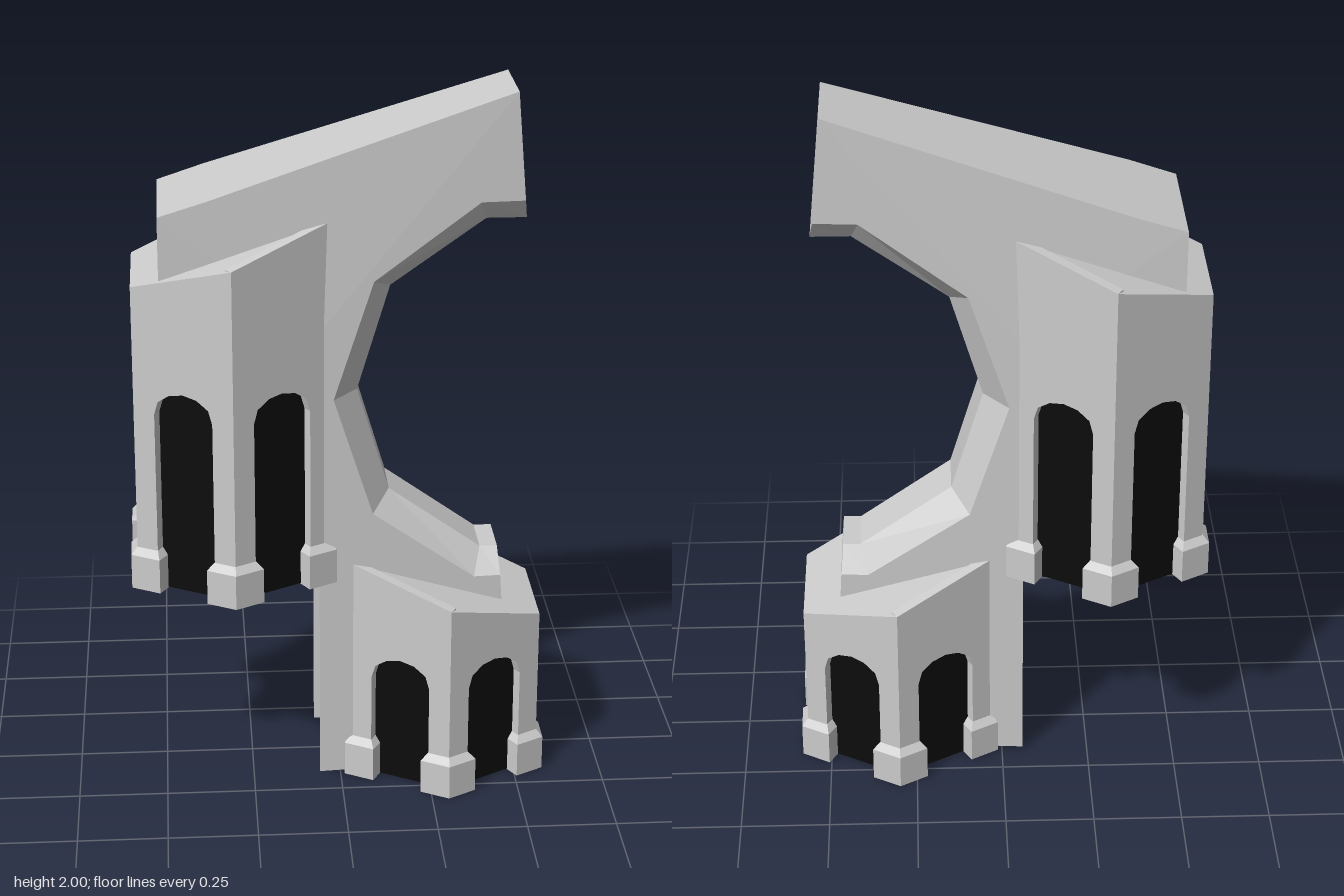
import * as THREE from 'three';

const grey = new THREE.MeshStandardMaterial({ color: 0xcccccc, flatShading: true, side: THREE.DoubleSide });
const black = new THREE.MeshStandardMaterial({ color: 0x0c0c0c, flatShading: true, side: THREE.DoubleSide });

const R = 0.31;                       // hexagon corner radius
const APOTHEM = R * Math.cos(Math.PI / 6);
const WALL = 0.03;

function addMesh(parent, name, geometry, material = grey) {
  const mesh = new THREE.Mesh(geometry, material);
  mesh.name = name;
  parent.add(mesh);
  return mesh;
}

function fromTriangles(points) {
  const g = new THREE.BufferGeometry().setFromPoints(points);
  g.computeVertexNormals();
  return g;
}

// Quads between consecutive rings of points
function skin(rings, closed) {
  const out = [];
  for (let i = 0; i + 1 < rings.length; i++) {
    const a = rings[i], b = rings[i + 1], n = a.length;
    for (let j = 0; j < (closed ? n : n - 1); j++) {
      const k = (j + 1) % n;
      out.push(a[j], a[k], b[k], a[j], b[k], b[j]);
    }
  }
  return out;
}

// Fills a flat outline; place() turns each outline point into a 3D point
function fill(outline, place, flip = false) {
  const pts = outline.map(([a, b]) => new THREE.Vector2(a, b));
  return THREE.ShapeUtils.triangulateShape(pts, [])
    .flatMap(([a, b, c]) => (flip ? [a, c, b] : [a, b, c]).map(i => place(pts[i])));
}

// One wall of a tower, with an arched opening reaching the ground
function wallGeometry(y0, archTop, topLeft, topRight) {
  const h = R / 2;
  const half = [[0.09, 0.07], [0.078, 0.032], [0.042, 0.008]];
  const arch = [[-0.09, y0], ...half.map(([u, d]) => [-u, archTop - d]), [0, archTop],
    ...half.slice().reverse().map(([u, d]) => [u, archTop - d]), [0.09, y0]];
  const outline = [[-h, y0], ...arch, [h, y0], [h, topRight], [-h, topLeft]];
  const shape = new THREE.Shape(outline.map(p => new THREE.Vector2(...p)));
  return new THREE.ExtrudeGeometry(shape, { depth: WALL, bevelEnabled: false })
    .translate(0, 0, APOTHEM - WALL);
}

// Angled plinth wrapping a tower corner that points along +z
function plinthGeometry() {
  const c = Math.cos(Math.PI / 6);
  const ring = (y, t, o) => {
    const end = (s, off) => new THREE.Vector3(s * (t * c + off * 0.5), y, R - t * 0.5 + off * c);
    return [end(-1, o), new THREE.Vector3(0, y, R + o / c), end(1, o),
      end(1, -0.035), new THREE.Vector3(0, y, R - 0.035 / c), end(-1, -0.035)];
  };
  const base = ring(0, 0.08, 0.018);
  const top = ring(0.12, 0.066, 0.001);
  const cap = (r, flip) => fill(r.map(p => [p.x, p.z]), p => new THREE.Vector3(p.x, r[0].y, p.y), flip);
  return fromTriangles([...skin([base, ring(0.1, 0.08, 0.018), top], true),
    ...cap(base, false), ...cap(top, true)]);
}

// Hexagonal tower with a sloping roof
function createTower(name, x, y0, archTop, roofMid, slope) {
  const tower = new THREE.Group();
  tower.name = name;
  tower.position.x = x;
  const corner = k => {
    const a = k * Math.PI / 3;
    return [R * Math.sin(a), R * Math.cos(a)];
  };
  const roofY = px => roofMid + slope * px;
  for (let k = 0; k < 6; k++) {
    const wall = addMesh(tower, 'archedWall',
      wallGeometry(y0, archTop, roofY(corner(k)[0]), roofY(corner(k + 1)[0])));
    wall.rotation.y = (k + 0.5) * Math.PI / 3;
    const plinth = addMesh(tower, 'cornerPlinth', plinthGeometry());
    plinth.position.y = y0;
    plinth.rotation.y = k * Math.PI / 3;
  }
  const corners = [0, 1, 2, 3, 4, 5].map(corner);
  addMesh(tower, 'slopingRoof', fromTriangles(
    fill(corners, p => new THREE.Vector3(p.x, roofY(p.x), p.y), true)));
  // Dark core behind the arches
  const height = archTop + 0.03 - y0;
  const core = addMesh(tower, 'darkCore',
    new THREE.CylinderGeometry(0.277, 0.277, height, 6, 1, true), black);
  core.position.y = y0 + height / 2 + 0.002;
  return tower;
}

// Curved spine joining the towers; its hollow side has a bevelled rim
function createSpine() {
  const spine = new THREE.Group();
  spine.name = 'spine';
  const width = x => x < -0.36 ? 0.19 + (x + 0.36) * 0.04 : 0.19 - (x + 0.36) * 0.08;
  // Side edge x, y, then the raised middle edge x, y where it differs
  const path = [
    [-0.06, 1.35], [-0.49, 1.35], [-0.49, 1.69], [-0.36, 1.732], [0.475, 2.0],
    [0.5, 1.7, 0.51, 1.64], [0.38, 1.7, 0.4, 1.64], [0.09, 1.49, 0.14, 1.455],
    [-0.02, 1.155, 0.05, 1.155], [0.09, 0.81, 0.14, 0.855], [0.38, 0.6, 0.4, 0.67],
    [0.455, 0.6, 0.45, 0.67], [0.465, 0.46], [0.465, 0.01],
  ];
  const rings = path.map(([x, y, ix = x, iy = y]) => [
    new THREE.Vector3(x, y, -width(x)), new THREE.Vector3(ix, iy, -0.075),
    new THREE.Vector3(ix, iy, 0.075), new THREE.Vector3(x, y, width(x))]);
  addMesh(spine, 'spineRim', fromTriangles(skin(rings, false)));
  const outline = [...path.map(([x, y]) => [x, y]), [-0.06, 0.01]].reverse();
  for (const s of [1, -1]) {
    addMesh(spine, 'spineSide', fromTriangles(
      fill(outline, p => new THREE.Vector3(p.x, p.y, s * width(p.x)), s < 0)));
  }
  return spine;
}

export function createModel() {
  const model = new THREE.Group();
  model.name = 'twinTowerArch';
  model.add(
    createTower('lowerTower', 0.298, 0, 0.39, 0.575, -0.32),
    createTower('upperTower', -0.298, 0.61, 1.205, 1.575, 0.32),
    createSpine());
  return model;
}
